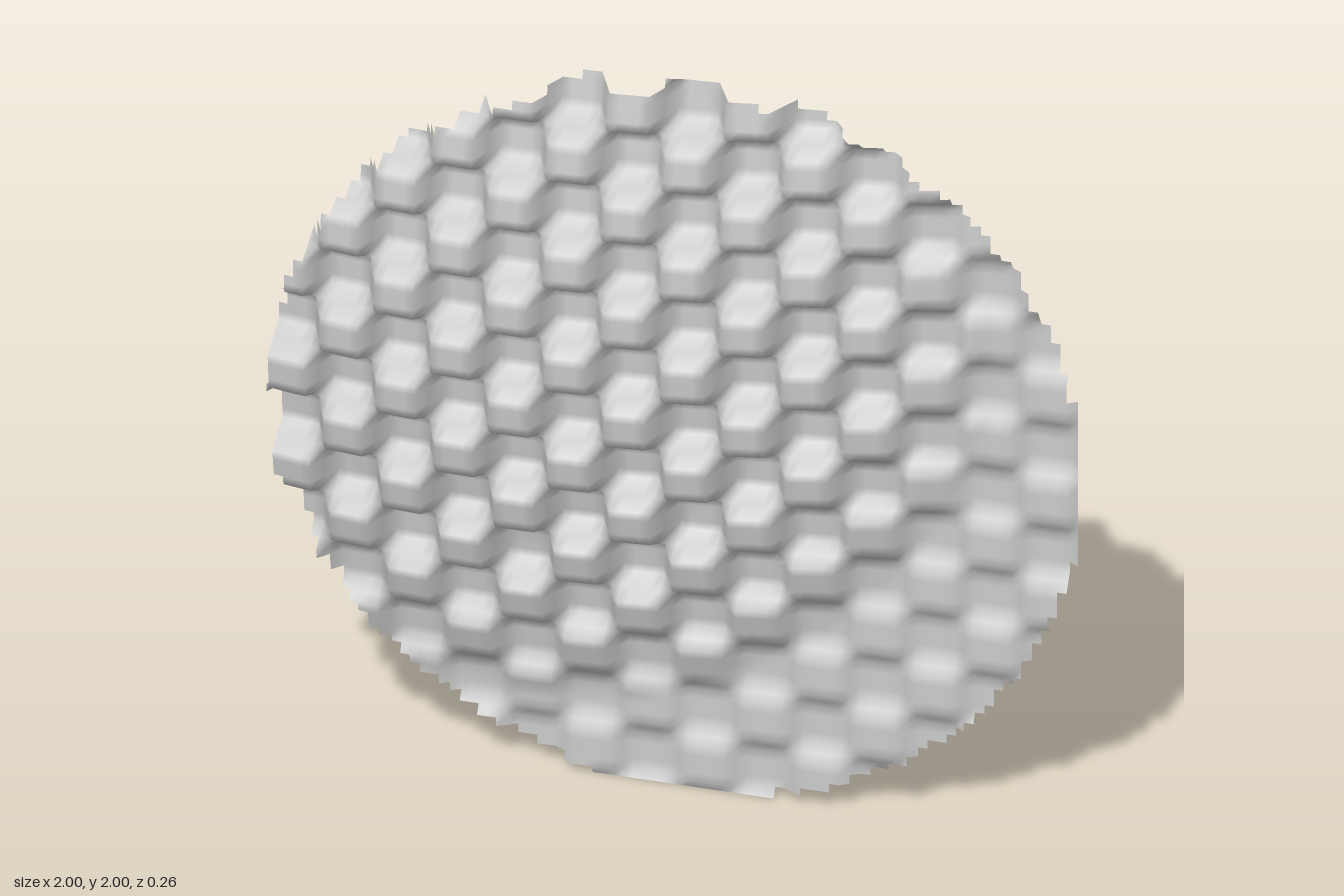
import * as THREE from 'three';

const CHECKS = 7;            // checks per unit length
const N = CHECKS * 6;        // grid steps per unit length
const FLOOR = -0.13;

// Height of the raised checks: a shallow off-centre dome with a flat skirt
function domeHeight(x, y) {
  const d = 0.13 - ((x + 0.38) ** 2 + (y - 0.38) ** 2) / 6;
  return Math.max(d, FLOOR + 0.03);
}

// -1 or 1 inside a check, 0 on its border
const wave = (t) => THREE.MathUtils.clamp(Math.sin(t * CHECKS * Math.PI) * 2.5, -1, 1);

// Checkerboard relief: every second check is sunk, less so towards the skirt
function relief(x, y) {
  const high = domeHeight(x, y);
  const depth = Math.min(0.1, 0.03 + 0.5 * (high - FLOOR - 0.03));
  const sunk = 0.5 + 0.5 * wave(x) * wave(y);
  return high - depth * sunk;
}

// Grid sheet trimmed to a stepped circle
function sheetGeometry() {
  const positions = [];
  const index = [];
  const row = 2 * N + 1;
  for (let j = -N; j <= N; j++) {
    for (let i = -N; i <= N; i++) {
      const x = i / N, y = j / N;
      positions.push(x, y + 1, relief(x, y));
    }
  }
  for (let j = -N; j < N; j++) {
    for (let i = -N; i < N; i++) {
      // the upper left corner of a square decides whether it is kept
      if (i * i + (j + 1) * (j + 1) > N * N) continue;
      const a = (j + N) * row + i + N;
      const b = a + 1, c = a + row, d = c + 1;
      index.push(a, b, d, a, d, c);
    }
  }
  const geometry = new THREE.BufferGeometry();
  geometry.setAttribute('position', new THREE.Float32BufferAttribute(positions, 3));
  geometry.setIndex(index);
  geometry.computeVertexNormals();
  return geometry;
}

export function createModel() {
  const group = new THREE.Group();
  group.name = 'checkeredDisc';
  const material = new THREE.MeshStandardMaterial({ color: 0xcccccc, side: THREE.DoubleSide });
  const sheet = new THREE.Mesh(sheetGeometry(), material);
  sheet.name = 'reliefSheet';
  group.add(sheet);
  return group;
}
